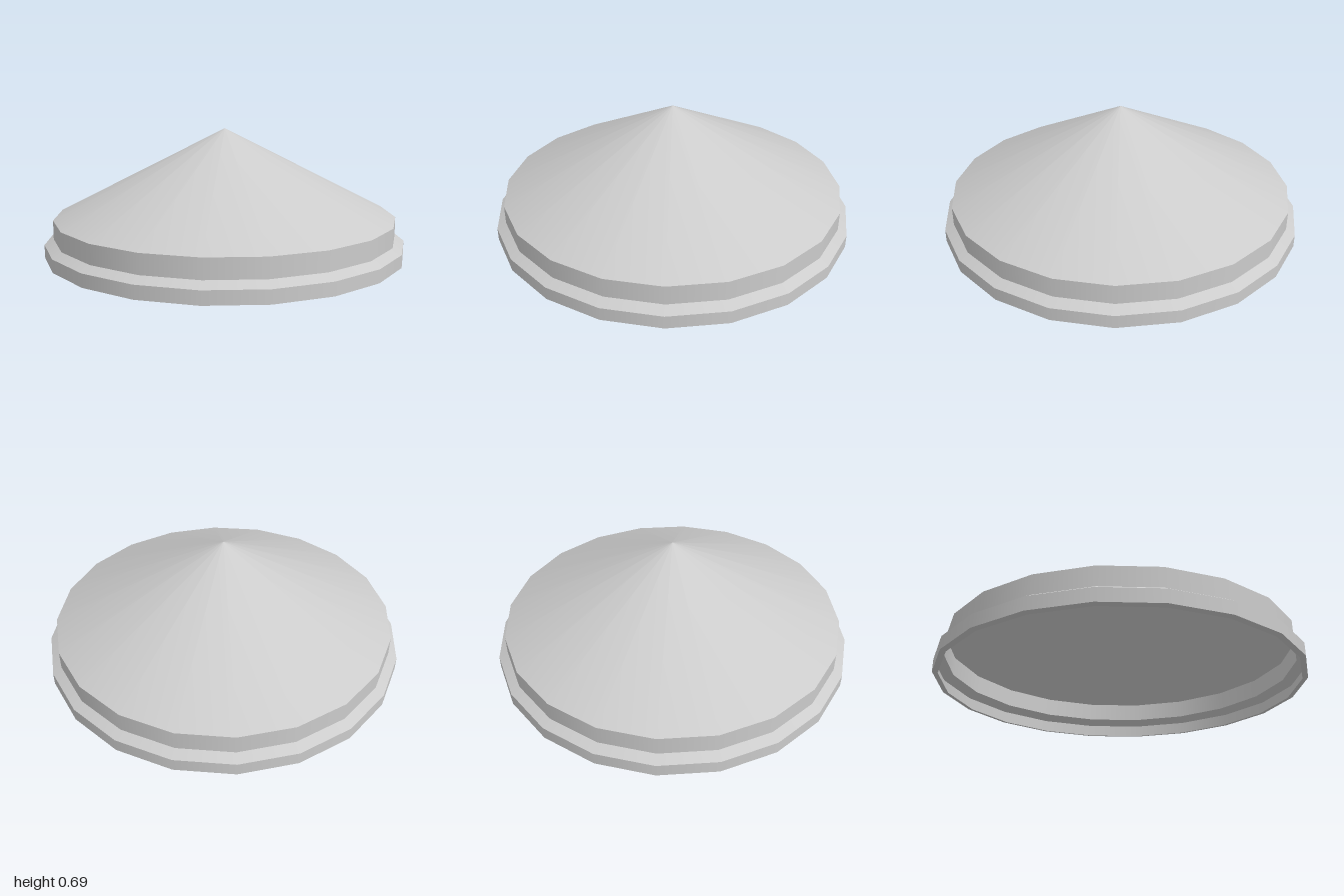
import * as THREE from 'three';

const SIDES = 20;

export function createModel() {
  const group = new THREE.Group();
  group.name = 'conicalLid';
  const material = new THREE.MeshStandardMaterial({ color: 0xcccccc, side: THREE.DoubleSide });

  // Each band of the thin hollow shell: name, bottom radius and height, top radius and height
  const bands = [
    ['bottomLip', 0.97, 0, 1, 0.005],
    ['rimWall', 1, 0.005, 1, 0.075],
    ['rimLedge', 1, 0.075, 0.95, 0.105],
    ['upperWall', 0.95, 0.105, 0.95, 0.208],
    ['coneTop', 0.95, 0.208, 0, 0.692],
  ];

  // Separate bands keep the ring edges sharp and the sides smooth
  for (const [name, r0, y0, r1, y1] of bands) {
    const geometry = new THREE.CylinderGeometry(r1, r0, y1 - y0, SIDES, 1, true);
    geometry.translate(0, (y0 + y1) / 2, 0);
    const mesh = new THREE.Mesh(geometry, material);
    mesh.name = name;
    group.add(mesh);
  }
  return group;
}
